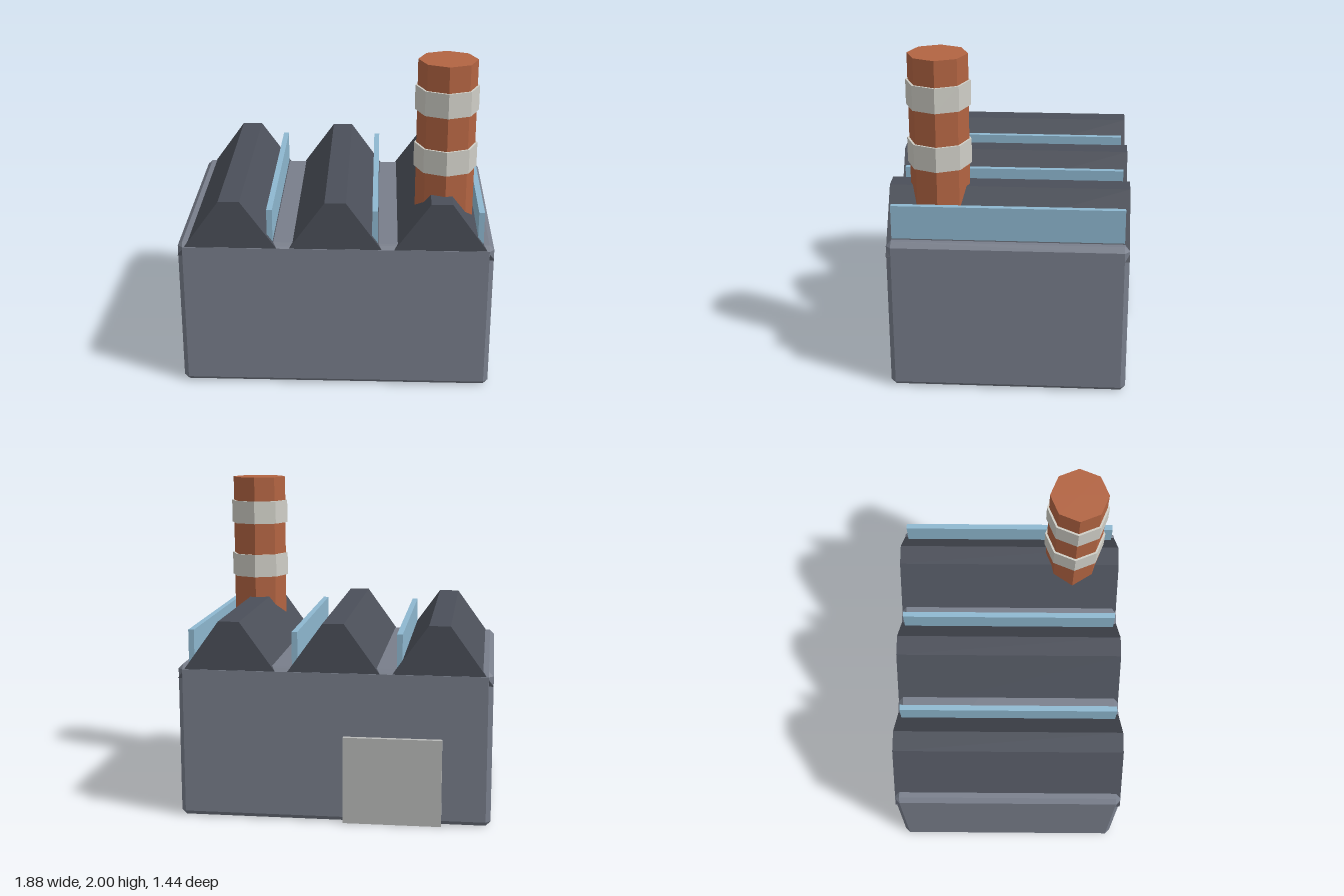
import * as THREE from 'three';
import { ConvexGeometry } from 'three/addons/geometries/ConvexGeometry.js';

const material = (name, color) => {
  const m = new THREE.MeshStandardMaterial({ color });
  m.name = name;
  return m;
};

// Box with every edge chamfered by c, resting on y = 0
function chamferedBox(w, h, d, c) {
  const points = [];
  for (const sx of [-1, 1]) for (const sy of [-1, 1]) for (const sz of [-1, 1]) {
    for (let axis = 0; axis < 3; axis++) {
      const inset = [c, c, c];
      inset[axis] = 0;
      points.push(new THREE.Vector3(
        sx * (w / 2 - inset[0]), h / 2 + sy * (h / 2 - inset[1]), sz * (d / 2 - inset[2])));
    }
  }
  return new ConvexGeometry(points);
}

export function createModel() {
  const group = new THREE.Group();
  group.name = 'factory';

  const wall = material('wallGrey', 0x787e8b);
  const roof = material('roofDarkGrey', 0x4b4f59);
  const glass = material('glassBlue', 0x8eb8d0);
  const brick = material('brickOrange', 0xb26442);
  const paint = material('bandWhite', 0xcfcec6);
  const metal = material('doorGrey', 0xb9bab9);

  const add = (name, geometry, mat, x, y, z) => {
    const mesh = new THREE.Mesh(geometry, mat);
    mesh.name = name;
    mesh.position.set(x, y, z);
    group.add(mesh);
  };

  // Main hall
  const depth = 1.41, midZ = 0.014;
  add('hall', chamferedBox(1.88, 0.942, depth, 0.029), wall, 0, 0, midZ);

  // Three roof ridges, each with a skylight pane on its +x side
  const profile = new THREE.Shape([
    new THREE.Vector2(-0.315, 0.858), new THREE.Vector2(0.315, 0.858),
    new THREE.Vector2(0.063, 1.208), new THREE.Vector2(-0.063, 1.208),
  ]);
  const ridgeDepth = depth - 0.002;
  const ridge = new THREE.ExtrudeGeometry(profile, { depth: ridgeDepth, bevelEnabled: false });
  ridge.translate(0, 0, -ridgeDepth / 2);
  const pane = new THREE.BoxGeometry(0.034, 0.25, 1.353);
  for (let i = -1; i <= 1; i++) {
    add('roofRidge', ridge, roof, i * 0.624, 0, midZ);
    add('skylight', pane, glass, i * 0.624 + 0.234, 1.025, midZ);
  }

  // Eight-sided chimney with two painted bands
  const chimneyX = 0.646, chimneyZ = 0.424;
  const cylinder = (r, h) => new THREE.CylinderGeometry(r, r, h, 8).toNonIndexed();
  const flat = (g) => { g.computeVertexNormals(); return g; };
  add('chimney', flat(cylinder(0.175, 1.995)), brick, chimneyX, 1.0025, chimneyZ);
  for (const y of [1.417, 1.77]) {
    add('chimneyBand', flat(cylinder(0.188, 0.148)), paint, chimneyX, y, chimneyZ);
  }

  // Loading door on the back wall
  add('loadingDoor', new THREE.BoxGeometry(0.588, 0.53, 0.035), metal, -0.354, 0.265, -0.7015);

  return group;
}
